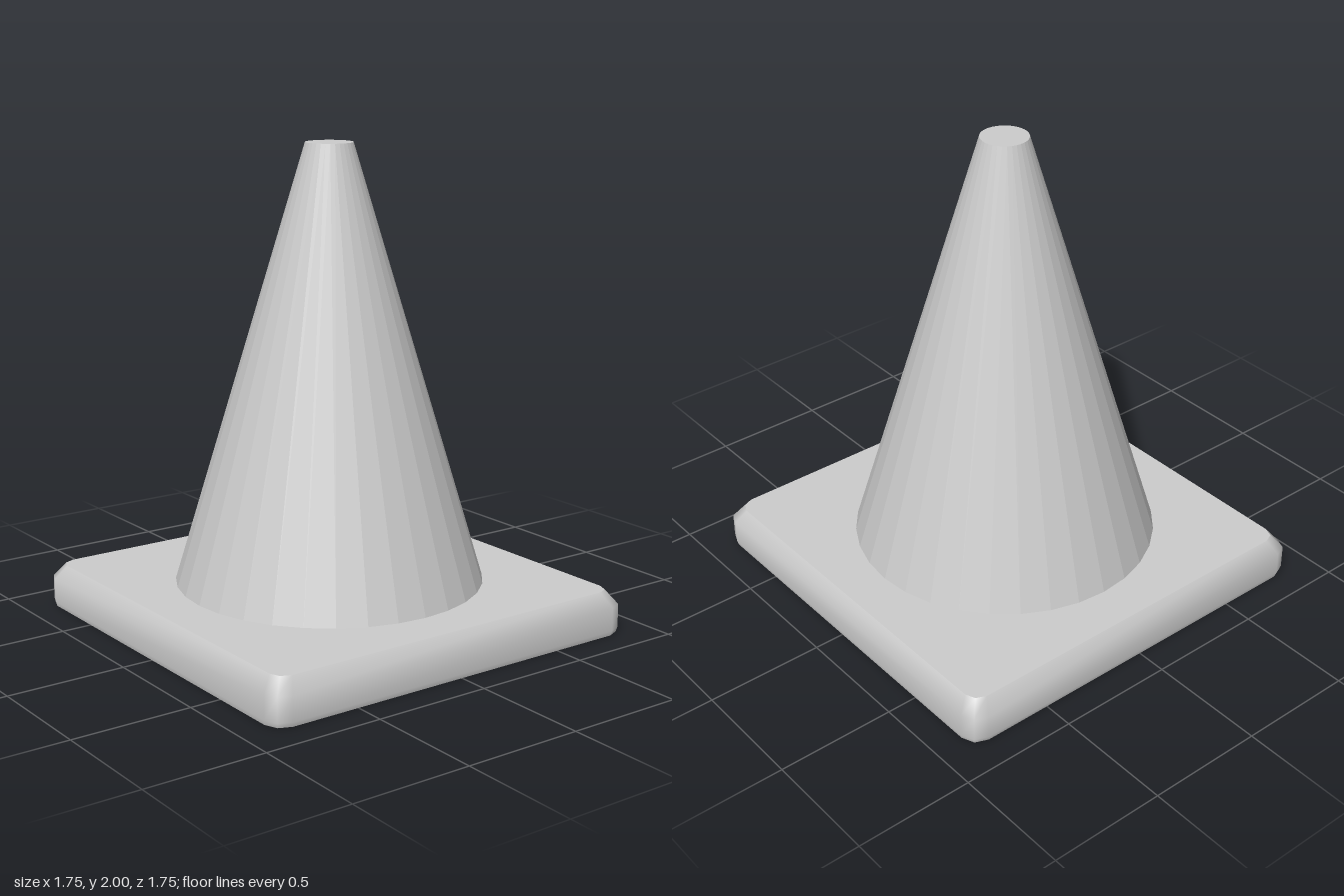
import * as THREE from 'three';

const SIDES = 32;
const HOLE_RADIUS = 0.64;
const PLATE_TOP = 0.18;
const RECESS_TOP = 0.13;

// Rounded square outline, counter-clockwise, two facets per corner
function outline(half, radius) {
  const points = [];
  for (let corner = 0; corner < 4; corner++) {
    const start = corner * Math.PI / 2;
    const mid = start + Math.PI / 4;
    const reach = (half - radius) * Math.SQRT2;
    for (let i = 0; i <= 2; i++) {
      const a = start + i * Math.PI / 4;
      points.push(new THREE.Vector2(
        Math.cos(mid) * reach + Math.cos(a) * radius,
        Math.sin(mid) * reach + Math.sin(a) * radius));
    }
  }
  return points;
}

// Flat rounded square with a round hole, facing up or down
function plateFace(half, radius, y, up) {
  const shape = new THREE.Shape(outline(half, radius));
  const hole = [];
  for (let i = 0; i < SIDES; i++) {
    const a = -i / SIDES * Math.PI * 2;
    hole.push(new THREE.Vector2(Math.cos(a) * HOLE_RADIUS, Math.sin(a) * HOLE_RADIUS));
  }
  shape.holes.push(new THREE.Path(hole));
  const geometry = new THREE.ShapeGeometry(shape);
  geometry.rotateX(up ? -Math.PI / 2 : Math.PI / 2);
  geometry.translate(0, y, 0);
  return geometry;
}

// Smooth wall through stacked outlines given as [half, radius, y]
function loft(rings) {
  const positions = [];
  const index = [];
  let n = 0;
  for (const [half, radius, y] of rings) {
    const points = outline(half, radius);
    n = points.length;
    for (const p of points) positions.push(p.x, y, -p.y);
  }
  for (let r = 0; r < rings.length - 1; r++) {
    for (let i = 0; i < n; i++) {
      const a = r * n + i;
      const b = r * n + (i + 1) % n;
      index.push(a, b, b + n, a, b + n, a + n);
    }
  }
  const geometry = new THREE.BufferGeometry();
  geometry.setAttribute('position', new THREE.Float32BufferAttribute(positions, 3));
  geometry.setIndex(index);
  geometry.computeVertexNormals();
  return geometry;
}

export function createModel() {
  const model = new THREE.Group();
  const smooth = new THREE.MeshStandardMaterial({ color: 0xcccccc });
  const flat = new THREE.MeshStandardMaterial({ color: 0xcccccc, flatShading: true });
  const inside = new THREE.MeshStandardMaterial({
    color: 0xcccccc, flatShading: true, side: THREE.BackSide });

  const add = (parent, name, geometry, material) => {
    const mesh = new THREE.Mesh(geometry, material);
    mesh.name = name;
    parent.add(mesh);
    return mesh;
  };

  // Square base plate with bevelled upper edge
  const base = new THREE.Group();
  base.name = 'basePlate';
  model.add(base);
  add(base, 'baseRim', loft([
    [0.87, 0.075, 0],
    [0.875, 0.075, 0.02],
    [0.875, 0.075, 0.12],
    [0.83, 0.06, PLATE_TOP],
  ]), smooth);
  add(base, 'baseTop', plateFace(0.83, 0.06, PLATE_TOP, true), smooth);
  add(base, 'baseUnderside', plateFace(0.87, 0.075, 0, false), smooth);

  // Round recess under the plate
  const recess = add(base, 'recessWall', new THREE.CylinderGeometry(
    HOLE_RADIUS, HOLE_RADIUS, RECESS_TOP, SIDES, 1, true), inside);
  recess.position.y = RECESS_TOP / 2;

  // Tapered body, closed at both ends
  const height = 2 - RECESS_TOP;
  const cone = add(model, 'coneBody',
    new THREE.CylinderGeometry(0.098, 0.66, height, SIDES), flat);
  cone.position.y = RECESS_TOP + height / 2;

  return model;
}
